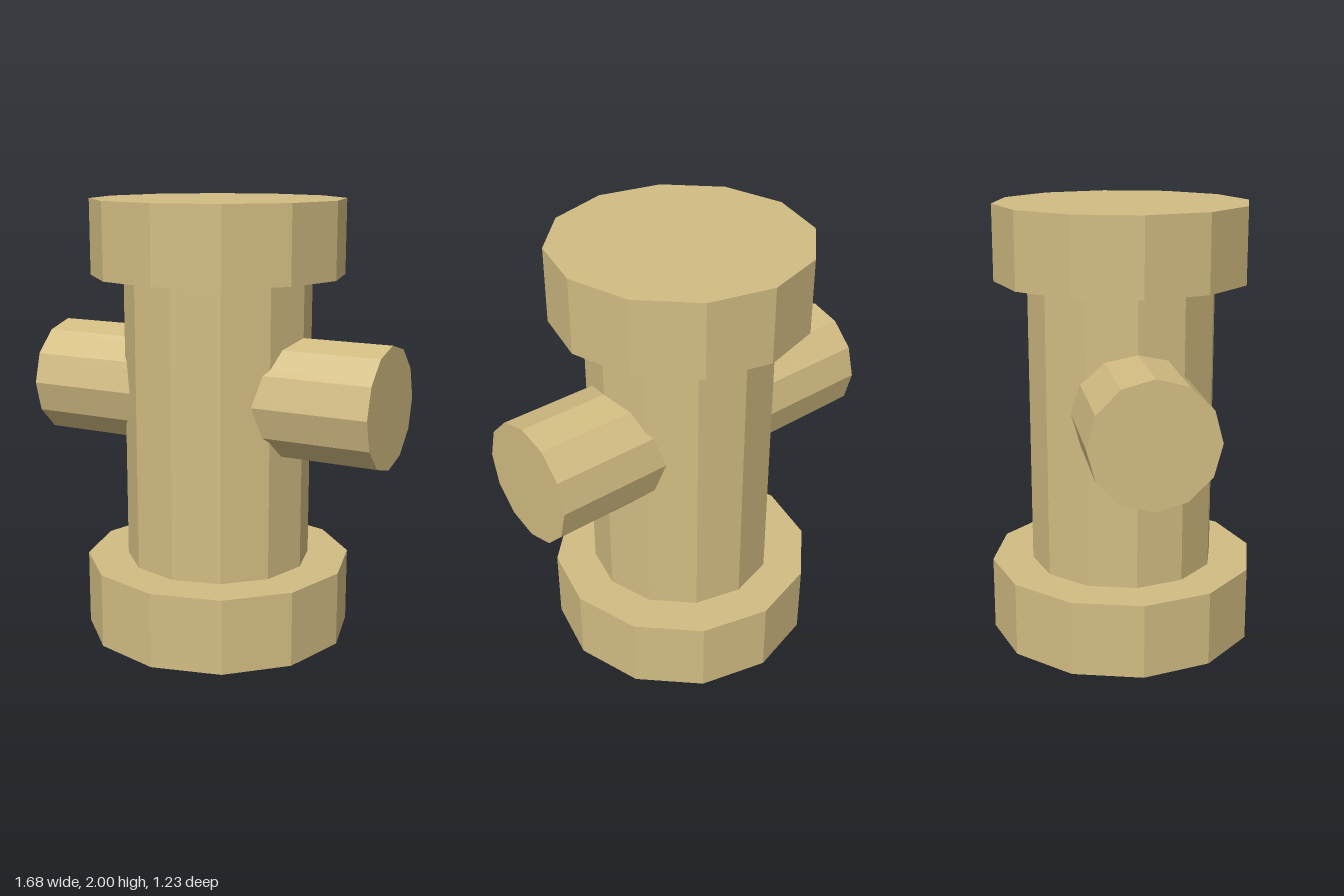
import * as THREE from 'three';

const SIDES = 12;

export function createModel() {
  const group = new THREE.Group();
  group.name = 'hydrant';
  const material = new THREE.MeshStandardMaterial({ color: 0xd2bc82, flatShading: true });

  // Twelve-sided upright drum between two heights
  function drum(name, radius, bottom, top) {
    const geometry = new THREE.CylinderGeometry(radius, radius, top - bottom, SIDES);
    const mesh = new THREE.Mesh(geometry, material);
    mesh.name = name;
    mesh.position.y = (bottom + top) / 2;
    group.add(mesh);
    return mesh;
  }

  drum('base', 0.616, 0, 0.342);
  drum('body', 0.427, 0.342, 1.662);
  drum('cap', 0.575, 1.662, 2);

  // Cross pipe running through the body, forming both side outlets
  const pipe = drum('sideOutlets', 0.274, 0, 1.68);
  pipe.position.y = 1.13;
  pipe.rotation.z = Math.PI / 2;

  return group;
}
